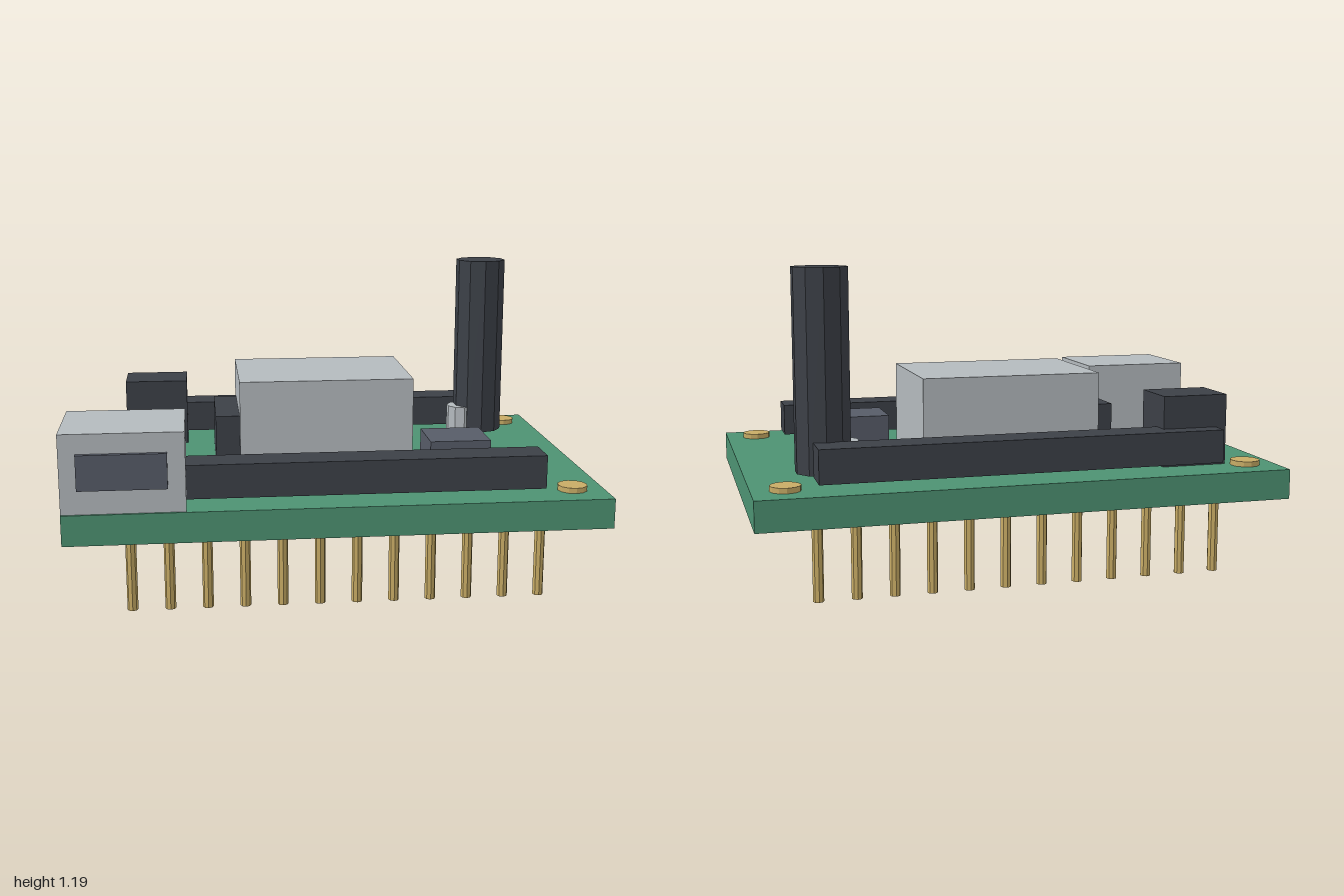
import * as THREE from 'three';

function mat(name, color) {
  const m = new THREE.MeshStandardMaterial({ color });
  m.name = name;
  return m;
}

export function createModel() {
  const group = new THREE.Group();
  group.name = 'circuitBoard';
  const green = mat('boardGreen', 0x4d9272);
  const dark = mat('darkPlastic', 0x3c4047);
  const slate = mat('slatePlastic', 0x575c68);
  const silver = mat('silverMetal', 0xb4babe);
  const gold = mat('goldMetal', 0xc8ac66);

  // Box given by its limits on each axis
  function box(name, material, [x0, x1], [y0, y1], [z0, z1]) {
    const mesh = new THREE.Mesh(new THREE.BoxGeometry(x1 - x0, y1 - y0, z1 - z0), material);
    mesh.position.set((x0 + x1) / 2, (y0 + y1) / 2, (z0 + z1) / 2);
    mesh.name = name;
    group.add(mesh);
  }

  // Faceted upright cylinder from y0 to y1
  function post(name, material, x, z, radius, y0, y1, sides) {
    const geometry = new THREE.CylinderGeometry(radius, radius, y1 - y0, sides).toNonIndexed();
    geometry.computeVertexNormals();
    const mesh = new THREE.Mesh(geometry, material);
    mesh.position.set(x, (y0 + y1) / 2, z);
    mesh.name = name;
    group.add(mesh);
  }

  const top = 0.418;
  box('board', green, [-1, 1], [0.305, top], [-0.697, 0.692]);

  // Header strips with their rows of pins below the board
  for (const side of [-1, 1]) {
    const z = side * 0.531;
    box('headerStrip', dark, [-0.77, 0.766], [0.438, 0.564], [z - 0.069, z + 0.069]);
    for (let i = 0; i < 12; i++) {
      post('headerPin', gold, -0.768 + i * 0.1395, z, 0.02, 0, 0.31, 8);
    }
  }

  // Mounting pads
  for (const [x, z] of [[-0.88, -0.56], [0.878, -0.56], [0.878, 0.554]]) {
    post('mountingPad', gold, x, z, 0.056, top - 0.005, 0.438, 12);
  }

  // Connector with a dark opening plate
  box('connectorShell', silver, [-1, -0.56], [top, 0.709], [0.312, 0.684]);
  box('connectorOpening', slate, [-0.94, -0.623], [0.508, 0.637], [0.694, 0.702]);
  box('connectorOpeningRim', slate, [-0.94, -0.623], [0.508, 0.637], [0.684, 0.694]);

  // Main chip with legs, partly covered by the metal shield
  box('mainChip', dark, [-0.442, 0.116], [top, 0.63], [-0.27, 0.117]);
  box('shieldCan', silver, [-0.347, 0.344], [0.44, 0.769], [-0.377, 0.135]);
  for (const x of [-0.32, -0.163, -0.006]) {
    box('mainChipLeg', silver, [x - 0.02, x + 0.02], [top, 0.448], [0.117, 0.177]);
    box('mainChipLeg', silver, [x - 0.02, x + 0.02], [top, 0.448], [-0.33, -0.27]);
  }

  // Small chip with legs on both sides
  box('smallChip', slate, [0.38, 0.617], [top, 0.559], [0.108, 0.33]);
  for (const x of [0.432, 0.499, 0.566]) {
    box('smallChipLegs', silver, [x - 0.018, x + 0.018], [top, 0.448], [0.05, 0.388]);
  }

  box('cornerBlock', dark, [-0.812, -0.555], [top, 0.689], [-0.528, -0.322]);

  // Antenna and its metal socket
  post('antennaSocket', silver, 0.648, -0.355, 0.066, top, 0.55, 10);
  post('antenna', dark, 0.72, -0.376, 0.104, 0.442, 1.187, 10);

  return group;
}
